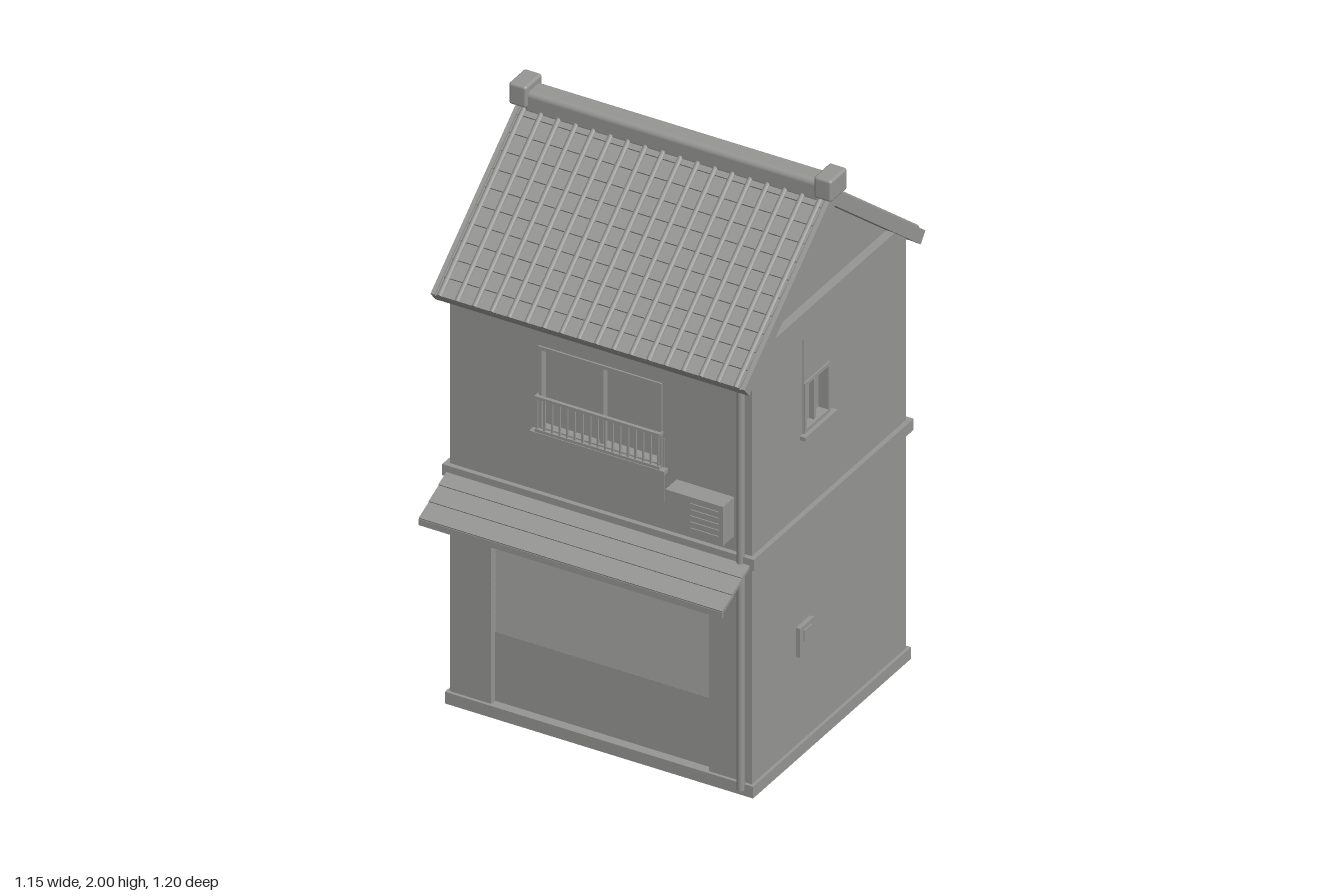
import * as THREE from 'three';
import { RoundedBoxGeometry } from 'three/addons/geometries/RoundedBoxGeometry.js';

const plaster = new THREE.MeshStandardMaterial({ color: 0x969694 });
plaster.name = 'plain grey';

const HW = 0.5375, HD = 0.465, T = 0.03; // half width, half depth, wall thickness

function add(parent, name, geometry, x = 0, y = 0, z = 0) {
  const mesh = new THREE.Mesh(geometry, plaster);
  mesh.name = name;
  mesh.position.set(x, y, z);
  parent.add(mesh);
  return mesh;
}

// Box given by its limits on each axis
function box(parent, name, x0, x1, y0, y1, z0, z1) {
  return add(parent, name, new THREE.BoxGeometry(x1 - x0, y1 - y0, z1 - z0),
    (x0 + x1) / 2, (y0 + y1) / 2, (z0 + z1) / 2);
}

function group(parent, name) {
  const g = new THREE.Group();
  g.name = name;
  parent.add(g);
  return g;
}

const polygon = (points) => new THREE.Shape(points.map(([x, y]) => new THREE.Vector2(x, y)));

// Wall group facing outwards: local z = 0 is the outer surface
function wall(parent, name, angle, distance, outline, openings) {
  const g = group(parent, name);
  g.rotation.y = angle;
  g.position.set(Math.sin(angle) * distance, 0, Math.cos(angle) * distance);
  const shape = polygon(outline);
  for (const [a, b, c, d] of openings)
    shape.holes.push(new THREE.Path([[a, c], [a, d], [b, d], [b, c]].map(([x, y]) => new THREE.Vector2(x, y))));
  add(g, name + 'Panel', new THREE.ExtrudeGeometry(shape, { depth: T, bevelEnabled: false }), 0, 0, -T);
  return g;
}

// Sliding window: frame, centre bar, inner sash and sill
function slidingWindow(parent, [a, b, c, d], sillOut) {
  const g = group(parent, 'window'), f = 0.012, m = (a + b) / 2;
  box(g, 'frameLeft', a, a + f, c, d, -T, 0.006);
  box(g, 'frameRight', b - f, b, c, d, -T, 0.006);
  box(g, 'frameTop', a, b, d - f, d, -T, 0.006);
  box(g, 'frameBottom', a, b, c, c + f, -T, 0.006);
  box(g, 'centreBar', m - 0.007, m + 0.007, c, d, -T, -0.004);
  box(g, 'frontSash', a + f, m, c + f, d - f, -T, -0.022);
  box(g, 'sill', a - 0.02, b + 0.02, c - 0.014, c, -0.01, sillOut);
}

// Hollow rectangular band around the house
function band(parent, name, y0, y1, out, inner) {
  const g = group(parent, name), x = HW + out, z = HD + out;
  for (const s of [-1, 1]) {
    add(g, name + 'Side', new THREE.BoxGeometry(inner, y1 - y0, 2 * z), s * (x - inner / 2), (y0 + y1) / 2, 0);
    add(g, name + 'End', new THREE.BoxGeometry(2 * (x - inner), y1 - y0, inner), 0, (y0 + y1) / 2, s * (z - inner / 2));
  }
}

function addFront(parent, flat) {
  const shutter = [-0.39, 0.385, 0.04, 0.70], win = [-0.22, 0.22, 1.085, 1.385];
  const g = wall(parent, 'frontWall', 0, HD, flat, [shutter, win]);
  slidingWindow(g, win, 0.025);

  // Roller shutter with its box
  for (let i = 0; i < 16; i++) {
    const slat = add(g, 'shutterSlat', new THREE.BoxGeometry(0.775, 0.025, 0.006), 0, 0.303 + i * 0.0255, -0.026);
    slat.rotation.x = -0.2;
  }
  box(g, 'shutterLowerPanel', -0.39, 0.385, 0.04, 0.29, -T, -0.022);
  box(g, 'shutterBox', -0.415, 0.41, 0.67, 0.735, -0.02, 0.035);
  for (const x of [-0.425, 0.418]) box(g, 'shutterBoxEnd', x - 0.012, x + 0.008, 0.69, 0.735, 0, 0.04);

  // Balcony rail
  const rail = group(g, 'balconyRail');
  for (let i = 0; i < 17; i++) {
    const x = -0.216 + i * 0.027;
    box(rail, 'railBar', x - 0.003, x + 0.003, 1.085, 1.21, 0.016, 0.022);
  }
  for (const y of [1.092, 1.21]) box(rail, 'railBeam', -0.222, 0.222, y - 0.005, y + 0.005, 0.013, 0.025);
  for (const x of [-0.22, 0.22]) box(rail, 'railReturn', x - 0.003, x + 0.003, 1.204, 1.214, 0, 0.025);
  box(g, 'wallCable', 0.223, 0.227, 0.96, 1.19, 0, 0.003);

  // Air conditioner
  const ac = group(g, 'airConditioner');
  box(ac, 'casing', 0.27, 0.475, 0.915, 1.055, -0.005, 0.068);
  for (let i = 0; i < 5; i++) box(ac, 'grilleBar', 0.36, 0.46, 0.94 + i * 0.022, 0.946 + i * 0.022, 0.068, 0.072);

  // Sloped awning in overlapping strips, with a lip and struts
  const awning = group(g, 'awning');
  awning.position.set(0, 0.845, 0);
  awning.rotation.x = 0.45;
  for (let i = 0; i < 3; i++) {
    const strip = add(awning, 'awningStrip', new THREE.BoxGeometry(1.08, 0.012, 0.072), 0, -0.004, 0.034 + i * 0.066);
    strip.rotation.x = -0.06;
  }
  box(g, 'awningLip', -0.54, 0.54, 0.735, 0.757, 0.176, 0.184);
  for (const x of [-0.43, 0.42]) {
    const strut = add(g, 'awningStrut', new THREE.BoxGeometry(0.012, 0.01, 0.16), x, 0.752, 0.078);
    strut.rotation.x = -0.2;
  }

  // Downpipe
  add(g, 'downpipe', new THREE.CylinderGeometry(0.013, 0.013, 1.47, 10), 0.505, 0.755, 0.012);
}

function addSides(parent) {
  const side = [[-HD, 0.03], [HD, 0.03], [HD, 1.517], [0.398, 1.57], [-0.398, 1.57], [-HD, 1.517]];
  const upper = [-0.155, 0.0, 1.14, 1.32];
  const right = wall(parent, 'leftWall', Math.PI / 2, HW, side, [upper]);
  slidingWindow(right, upper, 0.02);
  box(right, 'wallCable', -0.159, -0.155, 1.13, 1.48, 0, 0.003);
  box(right, 'meterBox', -0.2, -0.115, 0.36, 0.465, -0.005, 0.015);
  box(right, 'meterDial', -0.18, -0.135, 0.41, 0.45, 0.015, 0.02);

  const lower = [0.02, 0.19, 0.33, 0.53];
  const left = wall(parent, 'rightWall', -Math.PI / 2, HW, side, [lower]);
  slidingWindow(left, lower, 0.025);
  box(left, 'wallCable', 0.19, 0.194, 0.46, 0.66, 0, 0.003);
}

function addBack(parent, flat) {
  const door = [-0.36, -0.12, 0.04, 0.56], low = [0.14, 0.35, 0.305, 0.52], high = [0.01, 0.32, 1.11, 1.385];
  const g = wall(parent, 'backWall', Math.PI, HD, flat, [door, low, high]);
  slidingWindow(g, low, 0.025);
  slidingWindow(g, high, 0.025);
  box(g, 'windowCanopy', -0.02, 0.35, 1.39, 1.42, -0.005, 0.035);

  // Back door with frame, panels and handle
  const d = group(g, 'backDoor');
  for (const x of [-0.36, -0.134]) box(d, 'doorJamb', x, x + 0.014, 0.04, 0.56, -T, 0.006);
  box(d, 'doorHead', -0.37, -0.11, 0.555, 0.572, -T, 0.01);
  box(d, 'doorUpperPanel', -0.325, -0.155, 0.32, 0.53, -T, -0.022);
  box(d, 'doorLowerPanel', -0.325, -0.155, 0.07, 0.29, -T, -0.022);
  box(d, 'doorHandle', -0.152, -0.14, 0.27, 0.32, -T, -0.005);
  box(g, 'wallCable', 0.12, 0.124, 0.69, 0.78, 0, 0.003);
  box(g, 'wallCable', 0.33, 0.334, 0.9, 1.08, 0, 0.003);
}

function addRoof(parent) {
  const roof = group(parent, 'roof'), angle = Math.atan2(0.43, 0.54), length = 0.69;
  const rows = 11, step = length / rows;
  const gable = polygon([[-0.4, 1.49], [0.4, 1.49], [0.398, 1.57], [0, 1.885], [-0.398, 1.57]]);
  const attic = add(roof, 'gable', new THREE.ExtrudeGeometry(gable, { depth: 1.015, bevelEnabled: false }), -0.5075);
  attic.rotation.y = Math.PI / 2;

  for (const turn of [0, Math.PI]) {
    const half = group(roof, 'roofHalf');
    half.rotation.y = turn;
    const slope = group(half, 'roofSlope');
    slope.position.y = 1.93;
    slope.rotation.x = angle;
    box(slope, 'deck', -0.555, 0.555, -0.035, 0, 0, length);
    // Tile courses, each tipped so its lower edge stands proud
    for (let i = 0; i < rows; i++) {
      const course = add(slope, 'tileCourse', new THREE.BoxGeometry(1.08, 0.01, step), 0, 0.003, (i + 0.5) * step);
      course.rotation.x = -0.11;
    }
    // Cover ribs running down the slope
    for (let i = 0; i < 18; i++) {
      const rib = add(slope, 'tileRib', new THREE.CylinderGeometry(0.009, 0.009, length, 8), -0.527 + i * 0.062, 0.009, length / 2);
      rib.rotation.x = Math.PI / 2;
    }
    for (const s of [-1, 1]) add(slope, 'vergeBoard', new THREE.BoxGeometry(0.014, 0.045, length), s * 0.552, -0.014, length / 2);
  }

  // Ridge beam and end blocks
  add(roof, 'ridge', new RoundedBoxGeometry(1.06, 0.08, 0.08, 3, 0.018), 0, 1.937, 0);
  for (const s of [-1, 1]) add(roof, 'ridgeEnd', new RoundedBoxGeometry(0.064, 0.078, 0.1, 2, 0.01), s * 0.543, 1.961, 0);
}

export function createModel() {
  const model = new THREE.Group();
  model.name = 'house';
  const house = group(model, 'building');
  house.position.set(-0.0025, 0, -0.052);

  // Inner core backs the windows and openings
  box(house, 'core', -HW + T, HW - T, 0.03, 1.5, -HD + T, HD - T);
  const w = HW - T;
  const flat = [[-w, 0.03], [w, 0.03], [w, 1.515], [-w, 1.515]];
  addFront(house, flat);
  addSides(house);
  addBack(house, flat);
  band(house, 'plinth', 0, 0.042, 0.011, 0.06);
  band(house, 'floorBand', 0.822, 0.862, 0.017, 0.03);
  addRoof(house);
  return model;
}
